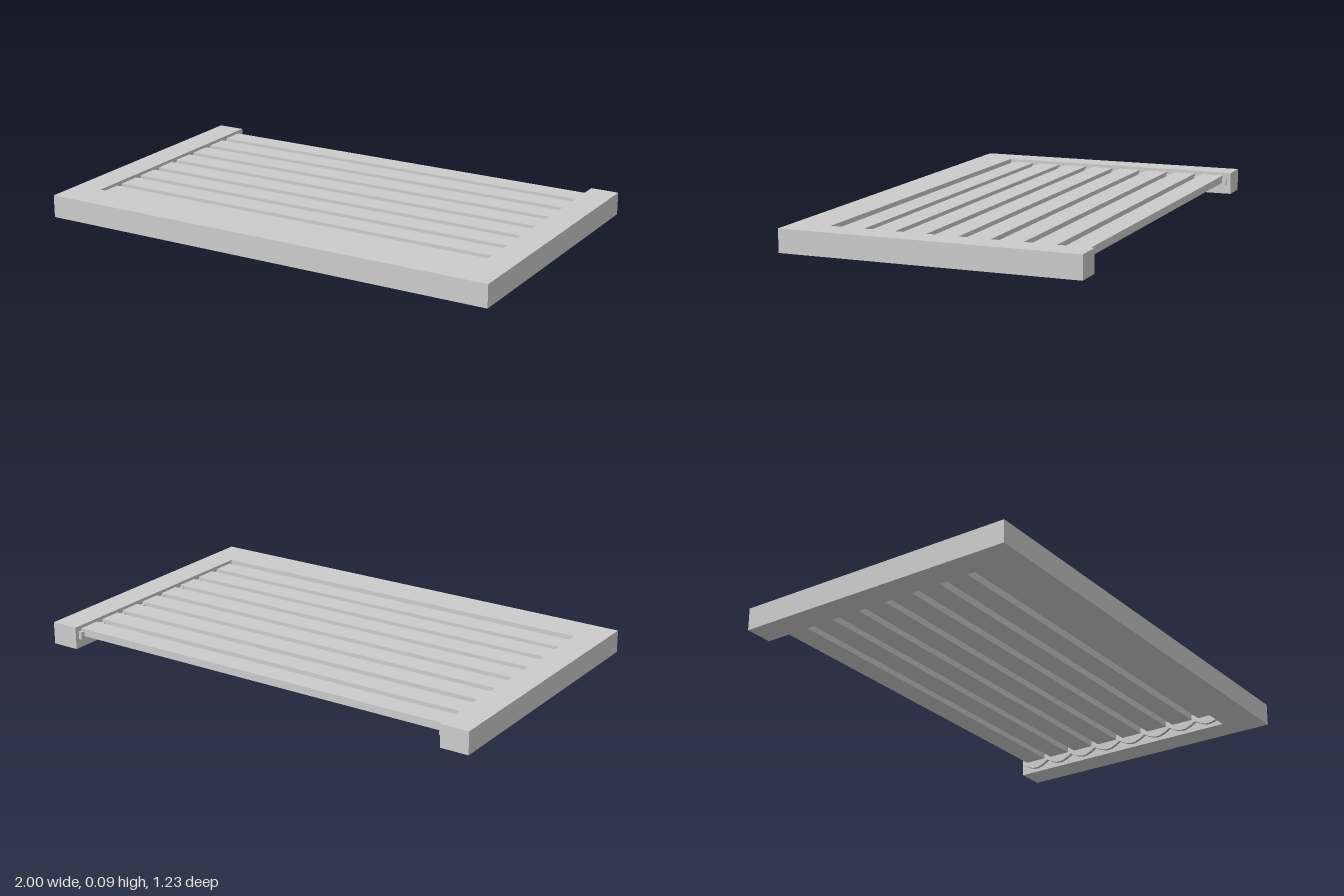
import * as THREE from 'three';

const material = new THREE.MeshStandardMaterial({ color: 0xcccccc, flatShading: true });
const HEIGHT = 0.095, DEPTH = 0.615, INNER = 0.88, FRONT_EDGE = 0.455;
const SLATS = 8, PITCH = 0.1318, FIRST_Z = -0.531, SLAT_WIDTH = 0.097;

function addMesh(parent, name, geometry) {
  const mesh = new THREE.Mesh(geometry, material);
  mesh.name = name;
  parent.add(mesh);
  return mesh;
}

// U-shaped frame, open at the back
function frameGeometry() {
  const shape = new THREE.Shape([
    [-1, -DEPTH], [1, -DEPTH], [1, DEPTH], [INNER, DEPTH],
    [INNER, -FRONT_EDGE], [-INNER, -FRONT_EDGE], [-INNER, DEPTH], [-1, DEPTH],
  ].map(([x, y]) => new THREE.Vector2(x, y)));
  return new THREE.ExtrudeGeometry(shape, { depth: HEIGHT, bevelEnabled: false }).rotateX(-Math.PI / 2);
}

// Strip along a side rail with a rounded cup below each slat
function holderGeometry() {
  const top = 0.072, valley = 0.04, dip = 0.025;
  const start = FIRST_Z - PITCH / 2, end = start + SLATS * PITCH;
  const shape = new THREE.Shape();
  shape.moveTo(-start, top);
  shape.lineTo(-start, valley);
  for (let i = 0; i < SLATS; i++) {
    for (let k = 1; k <= 8; k++) {
      shape.lineTo(-(start + (i + k / 8) * PITCH), valley - dip * Math.sin(Math.PI * k / 8));
    }
  }
  shape.lineTo(-end, top);
  shape.closePath();
  return new THREE.ExtrudeGeometry(shape, { depth: 0.016, bevelEnabled: false }).rotateY(Math.PI / 2);
}

export function createModel() {
  const model = new THREE.Group();
  model.name = 'slattedFrame';
  addMesh(model, 'frame', frameGeometry());

  // Slat holders inside both rails
  const holder = holderGeometry();
  addMesh(model, 'leftSlatHolder', holder).position.x = 0.865;
  addMesh(model, 'rightSlatHolder', holder).position.x = -0.881;

  // Flat slats set just below the frame top
  const slat = new THREE.BoxGeometry(2 * INNER, 0.032, SLAT_WIDTH);
  for (let i = 0; i < SLATS; i++) {
    addMesh(model, `slat${i + 1}`, slat).position.set(0, 0.066, FIRST_Z + i * PITCH);
  }
  return model;
}
